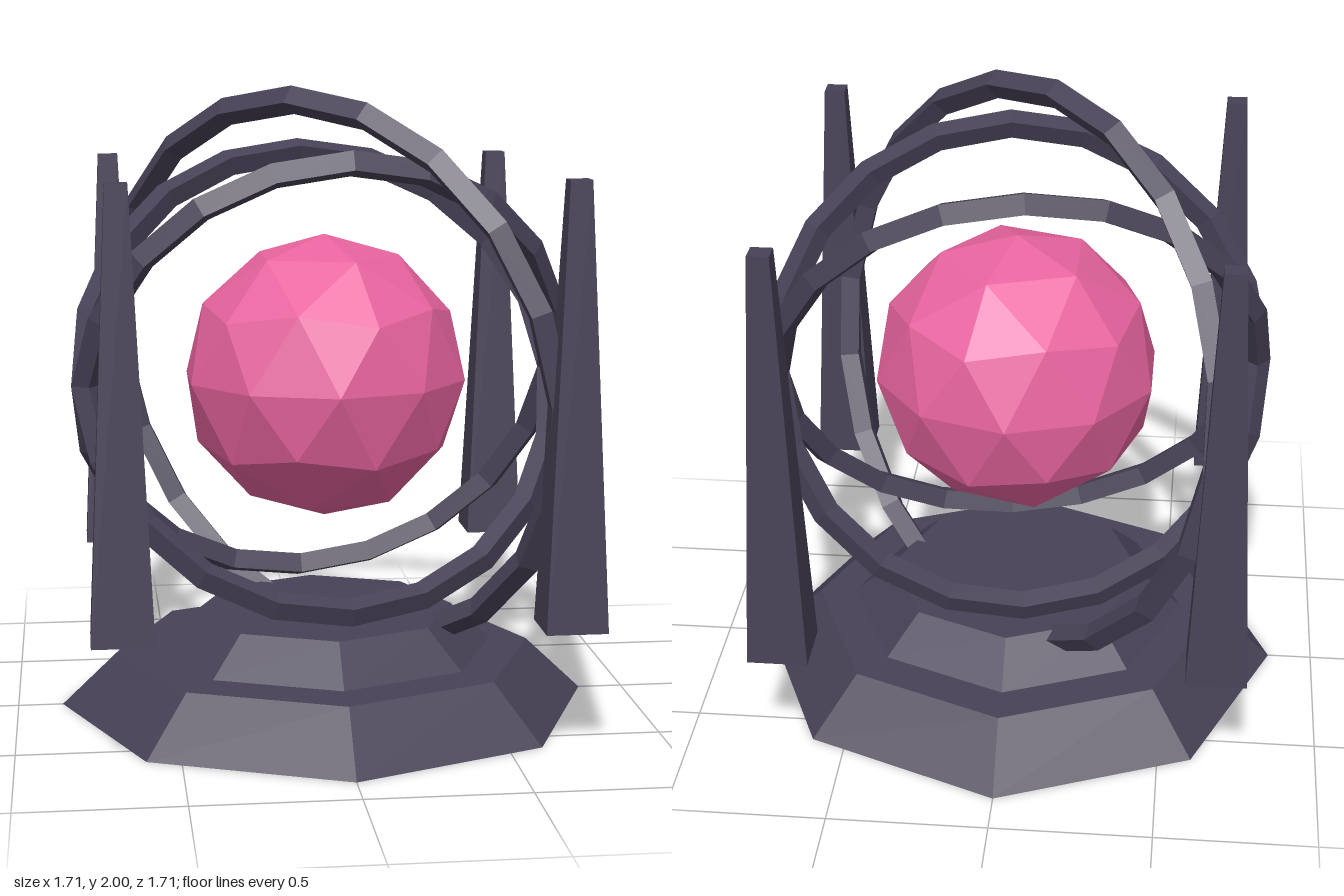
import * as THREE from 'three';

const CENTER_Y = 1.07;

export function createModel() {
  const model = new THREE.Group();
  model.name = 'ringedOrbShrine';

  const stone = new THREE.MeshStandardMaterial({ color: 0x474156, flatShading: true });
  stone.name = 'dark stone';
  const crystal = new THREE.MeshStandardMaterial({ color: 0xe8649f, flatShading: true });
  crystal.name = 'pink crystal';

  function add(name, geometry, material, x = 0, y = 0, z = 0) {
    const mesh = new THREE.Mesh(geometry, material);
    mesh.name = name;
    mesh.position.set(x, y, z);
    model.add(mesh);
    return mesh;
  }

  // Tapered prism standing from y0 to y1
  function taper(bottom, top, y0, y1, sides) {
    const g = new THREE.CylinderGeometry(top, bottom, y1 - y0, sides);
    g.translate(0, (y0 + y1) / 2, 0);
    return g;
  }

  // Two-step octagonal base
  add('lowerBase', taper(0.857, 0.675, 0, 0.173, 8), stone);
  add('upperBase', taper(0.552, 0.42, 0.183, 0.302, 8), stone);

  // Four floating square obelisks at the corners
  const obelisk = taper(0.094 * Math.SQRT2, 0.033 * Math.SQRT2, 0.4, 1.745, 4);
  obelisk.rotateY(Math.PI / 4);
  for (const [sx, side] of [[1, 'Left'], [-1, 'Right']]) {
    for (const [sz, end] of [[1, 'front'], [-1, 'back']]) {
      add(end + side + 'Obelisk', obelisk, stone, sx * 0.673, 0, sz * 0.673);
    }
  }

  // Faceted orb, turned so that a corner points straight up
  const orb = new THREE.IcosahedronGeometry(0.458, 1);
  orb.rotateZ(-Math.atan(2 / (1 + Math.sqrt(5))));
  add('orb', orb, crystal, 0, CENTER_Y, 0);

  // Diamond-section rings: radius, lean of the top, turn about the vertical
  const rings = [
    ['forwardRing', 0.775, 25, 8.6],
    ['backwardRing', 0.775, -25, 8.6],
    ['diagonalRing', 0.9, 10, -45],
  ];
  for (const [name, radius, lean, turn] of rings) {
    const ring = add(name, new THREE.TorusGeometry(radius, 0.045, 4, 20), stone, 0, CENTER_Y, 0);
    ring.rotation.set(THREE.MathUtils.degToRad(lean), THREE.MathUtils.degToRad(turn), 0, 'YXZ');
  }

  return model;
}
